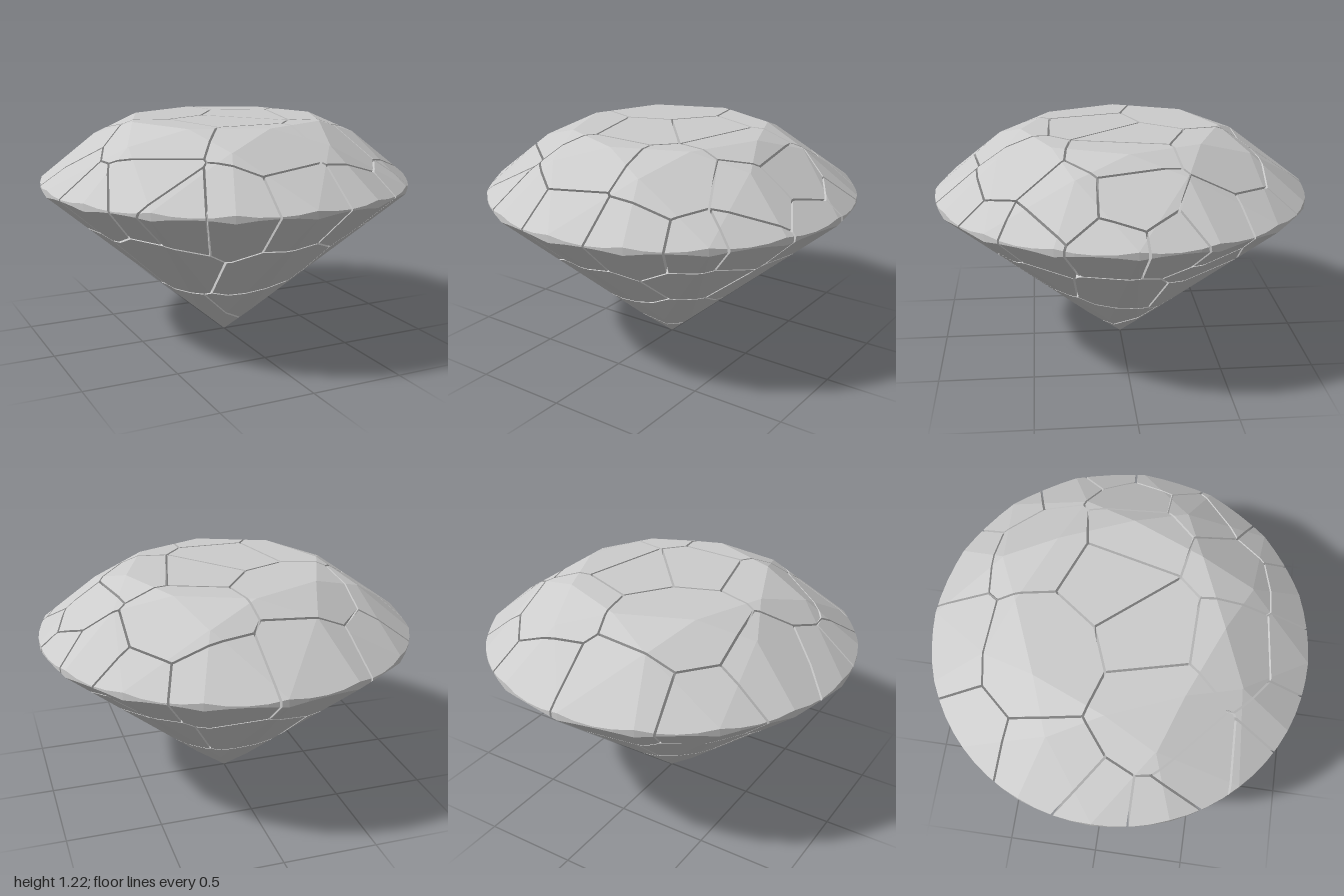
import * as THREE from 'three';

const GAP = 0.012; // width of the cracks
const EPS = 1e-6;

// Half-space n.p <= d, stored with a unit normal
const plane = (x, y, z, d) => {
  const n = new THREE.Vector3(x, y, z), len = n.length();
  return { n: n.divideScalar(len), d: d / len };
};

// Sloping facet facing angle a, through radius r at height y; up = 1 crown, -1 pavilion
const facet = (a, slope, r, y, up) =>
  plane(Math.cos(a) * slope, up, Math.sin(a) * slope, slope * r + up * y);

// Cuts a convex solid (list of polygons) with a plane and caps the cut
function clip(faces, { n, d }) {
  const side = (p) => n.dot(p) - d;
  if (!faces.some((f) => f.some((p) => side(p) > EPS))) return faces;
  const kept = [], cut = [];
  const addCut = (p) => {
    if (!cut.some((q) => q.distanceToSquared(p) < 1e-11)) cut.push(p);
  };
  for (const f of faces) {
    const out = [];
    f.forEach((p, i) => {
      const q = f[(i + 1) % f.length], sp = side(p), sq = side(q);
      if (sp <= EPS) out.push(p);
      if (Math.abs(sp) <= EPS) addCut(p);
      if ((sp > EPS && sq < -EPS) || (sp < -EPS && sq > EPS)) {
        const m = p.clone().lerp(q, sp / (sp - sq));
        out.push(m);
        addCut(m);
      }
    });
    if (out.length > 2) kept.push(out);
  }
  if (cut.length > 2) {
    const c = cut.reduce((s, p) => s.add(p), new THREE.Vector3()).divideScalar(cut.length);
    const u = cut[0].clone().sub(c).normalize(), v = n.clone().cross(u);
    const angle = (p) => Math.atan2(p.clone().sub(c).dot(v), p.clone().sub(c).dot(u));
    kept.push(cut.sort((p, q) => angle(p) - angle(q)));
  }
  return kept;
}

// Starting block, as six outward-facing squares
function block(s) {
  const faces = [];
  for (let axis = 0; axis < 3; axis++) {
    for (const sign of [1, -1]) {
      const quad = [[-1, -1], [1, -1], [1, 1], [-1, 1]].map(([a, b]) => {
        const c = [0, 0, 0];
        c[axis] = sign * s;
        c[(axis + 1) % 3] = a * s;
        c[(axis + 2) % 3] = b * s;
        return new THREE.Vector3(...c);
      });
      faces.push(sign > 0 ? quad : quad.reverse());
    }
  }
  return faces;
}

// Round brilliant cut: table, bezels, stars, girdle facets and pavilion
function brilliant() {
  const planes = [plane(0, 1, 0, 1.22)];
  const step = Math.PI / 4;
  for (let i = 0; i < 64; i++) {
    const a = ((i + 0.5) * Math.PI) / 32;
    planes.push(plane(Math.cos(a), 0, Math.sin(a), Math.cos(Math.PI / 64)));
  }
  for (let i = 0; i < 8; i++) {
    planes.push(facet(i * step, 0.68, 0.53, 1.22, 1)); // bezel
    planes.push(facet((i + 0.5) * step, 0.39, 0.49, 1.22, 1)); // star
    planes.push(facet(i * step, 0.86, 0, 0, -1)); // pavilion main
  }
  for (let i = 0; i < 16; i++) {
    const a = ((i + 0.5) * step) / 2;
    planes.push(facet(a, 0.82, 0.981, 0.9, 1)); // upper girdle
    planes.push(facet(a, 0.893, 0.981, 0.86, -1)); // lower girdle
  }
  return planes.reduce(clip, block(2));
}

// Shard centres (x, z) lying just under the crown
const CROWN = [
  [-0.25, -0.35], [-0.21, -0.82], [-0.64, -0.69], [-0.77, -0.25], [-0.92, 0],
  [-0.45, 0.27], [-0.9, 0.34], [-0.64, 0.5], [-0.58, 0.73], [-0.34, 0.84],
  [0, 0.87], [-0.06, 0.57], [-0.05, 0.17], [0.19, -0.03], [0.44, 0.03],
  [0.36, -0.46], [0.3, -0.84], [0.66, -0.67], [0.79, -0.37], [0.91, -0.19],
  [0.71, -0.01], [0.93, 0.1], [0.68, 0.32], [0.77, 0.5], [0.35, 0.53],
  [0.65, 0.69], [0.36, 0.83],
];
// Shard centres (x, z) lying just inside the pavilion
const PAVILION = [
  [0.03, 0.53], [-0.5, 0.36], [0.47, 0.44], [0.56, 0.06], [0.46, -0.36],
  [0.68, -0.38], [0.05, -0.58], [-0.42, -0.46], [-0.62, -0.06],
  [0.13, 0.2], [-0.1, -0.05],
];

function shardCentres() {
  const crown = CROWN.map(([x, z]) => {
    const r = Math.hypot(x, z);
    return new THREE.Vector3(x, 1.1 - 0.68 * Math.max(0, r - 0.53), z);
  });
  const pavilion = PAVILION.map(([x, z]) => new THREE.Vector3(x, 0.88 * Math.hypot(x, z) + 0.07, z));
  return [...crown, ...pavilion];
}

// Flat-shaded geometry from convex polygons
function polygonGeometry(faces) {
  const pos = [];
  for (const f of faces) {
    for (let i = 1; i < f.length - 1; i++) {
      for (const p of [f[0], f[i], f[i + 1]]) pos.push(p.x, p.y, p.z);
    }
  }
  const g = new THREE.BufferGeometry();
  g.setAttribute('position', new THREE.Float32BufferAttribute(pos, 3));
  g.computeVertexNormals();
  return g;
}

export function createModel() {
  const group = new THREE.Group();
  group.name = 'shatteredGem';
  const material = new THREE.MeshStandardMaterial({ color: 0xcccccc, flatShading: true });
  const gem = brilliant();
  const centres = shardCentres();

  // Each shard is the part of the gem nearest its centre, less half a crack
  centres.forEach((c, i) => {
    let faces = gem;
    for (const other of centres) {
      if (other === c) continue;
      const n = other.clone().sub(c).normalize();
      const mid = other.clone().add(c).multiplyScalar(0.5);
      faces = clip(faces, { n, d: n.dot(mid) - GAP / 2 });
    }
    if (faces.length < 4) return;
    const shard = new THREE.Mesh(polygonGeometry(faces), material);
    shard.name = i < CROWN.length ? `crownShard${i + 1}` : `pavilionShard${i + 1 - CROWN.length}`;
    group.add(shard);
  });
  return group;
}
